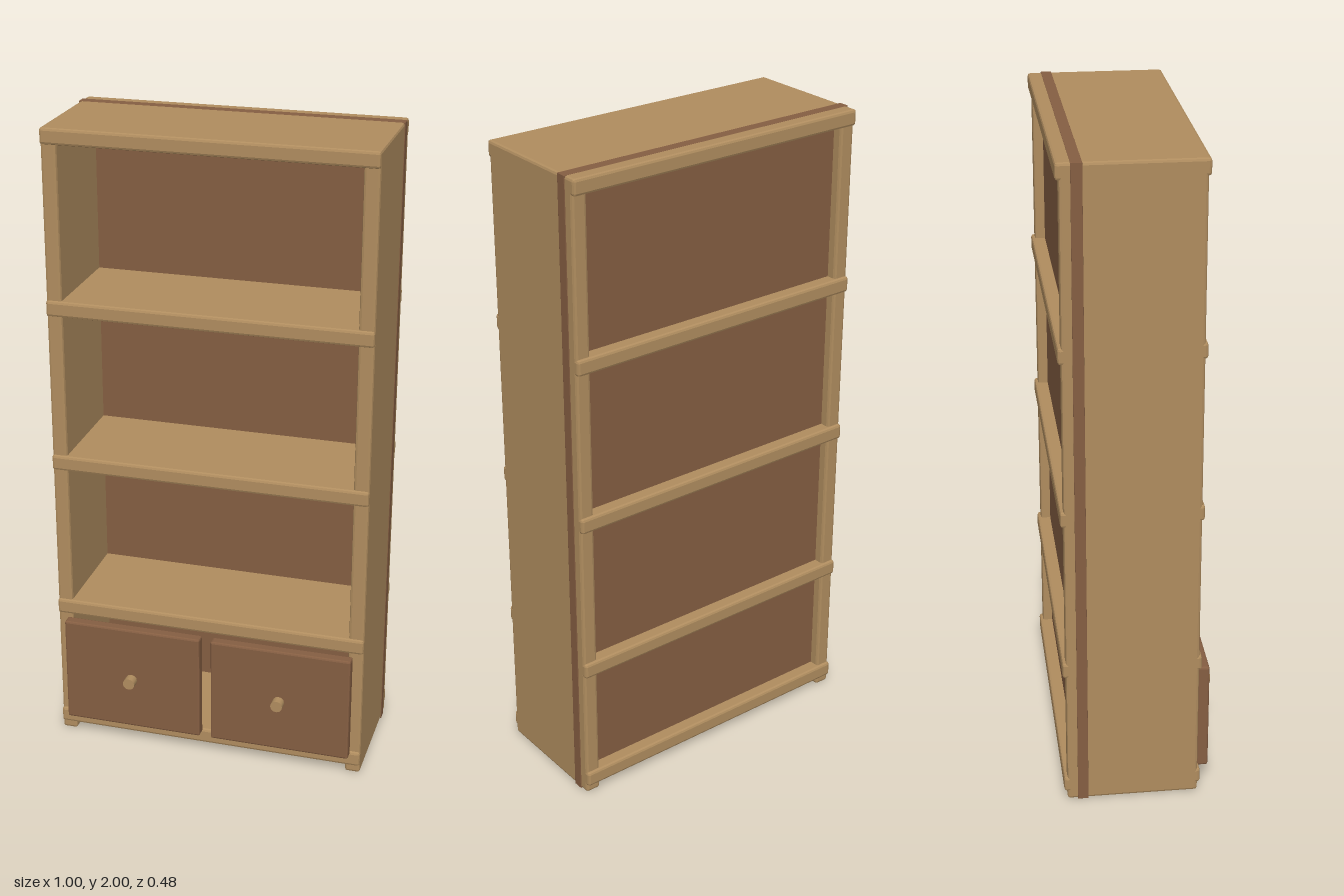
import * as THREE from 'three';
import { RoundedBoxGeometry } from 'three/addons/geometries/RoundedBoxGeometry.js';

const wood = new THREE.MeshStandardMaterial({ color: 0xb08d5f });
wood.name = 'light wood';
const darkWood = new THREE.MeshStandardMaterial({ color: 0x855e42 });
darkWood.name = 'dark wood';

// Box with chamfered edges, given by its min and max corners
function board(name, material, [x0, y0, z0], [x1, y1, z1], bevel = 0.008) {
  const geometry = new RoundedBoxGeometry(x1 - x0, y1 - y0, z1 - z0, 1, bevel);
  geometry.computeVertexNormals();
  const mesh = new THREE.Mesh(geometry, material);
  mesh.name = name;
  mesh.position.set((x0 + x1) / 2, (y0 + y1) / 2, (z0 + z1) / 2);
  return mesh;
}

export function createModel() {
  const bookcase = new THREE.Group();
  bookcase.name = 'bookcase';

  // Shelves, slightly deeper than the sides, from the base to the top
  const shelfNames = ['bottomShelf', 'cabinetTop', 'lowerShelf', 'upperShelf', 'topBoard'];
  [0.028, 0.43, 0.93, 1.43, 1.95].forEach((y, i) => {
    bookcase.add(board(shelfNames[i], wood, [-0.496, y, -0.241], [0.496, y + 0.049, 0.175]));
  });

  // Back panel runs through the sides and shows as a thin strip on the outside
  bookcase.add(board('backPanel', darkWood, [-0.498, 0, -0.2], [0.498, 2, -0.168], 0.001));

  for (const side of [1, -1]) {
    const label = side > 0 ? 'left' : 'right';
    const x = side * 0.472;
    bookcase.add(board(label + 'Side', wood, [x - 0.024, 0.001, -0.231], [x + 0.024, 1.995, 0.167]));

    // Cabinet door
    const dx = side * 0.241;
    bookcase.add(board(label + 'Door', darkWood, [dx - 0.223, 0.068, 0.168], [dx + 0.223, 0.418, 0.204], 0.006));

    // Round knob standing just off the door
    const knobGeometry = new THREE.CylinderGeometry(0.019, 0.019, 0.029, 12);
    knobGeometry.rotateX(Math.PI / 2);
    const knob = new THREE.Mesh(knobGeometry, wood);
    knob.name = label + 'Knob';
    knob.position.set(dx, 0.244, 0.2265);
    bookcase.add(knob);
  }
  return bookcase;
}
